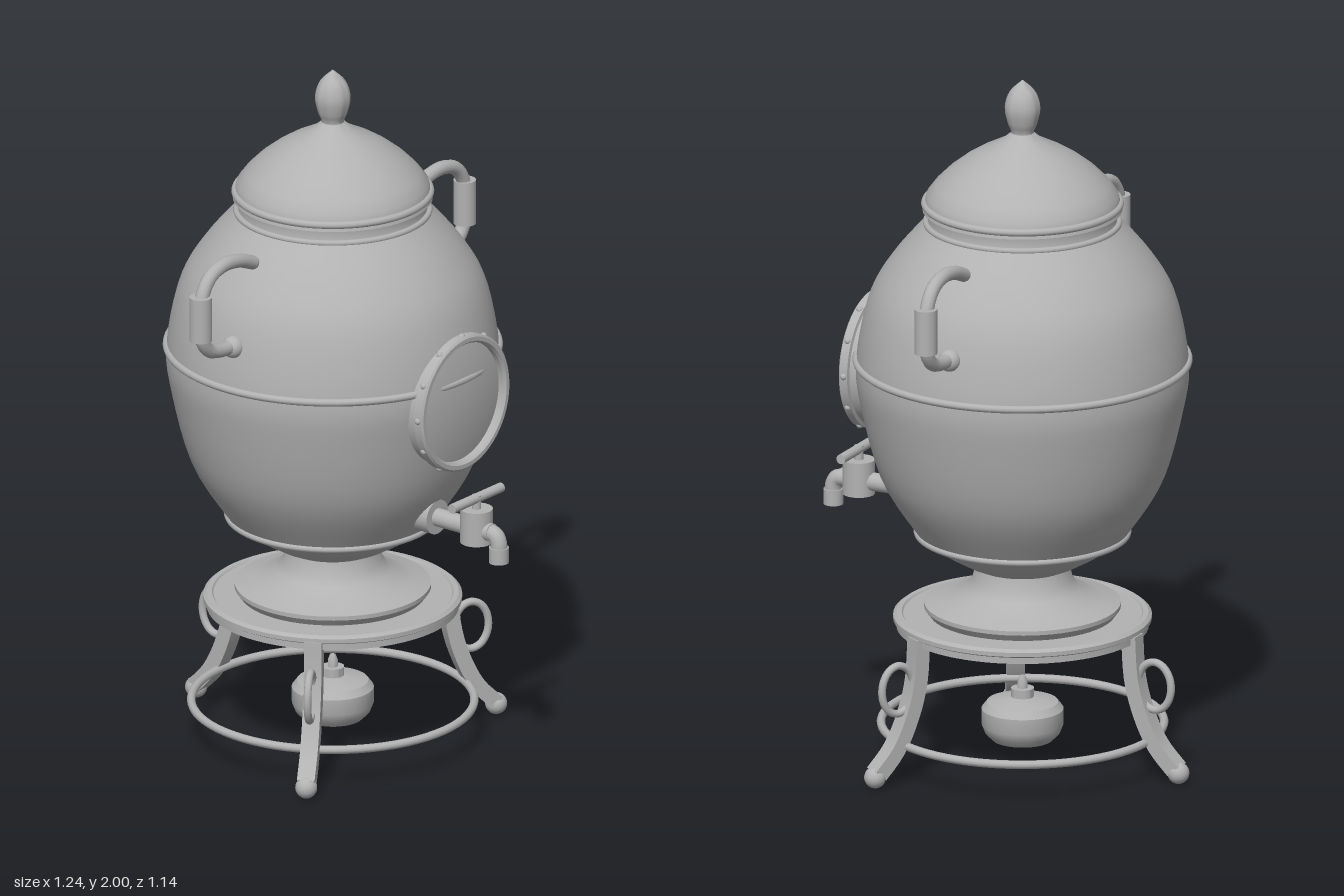
import * as THREE from 'three';
import { toCreasedNormals } from 'three/addons/utils/BufferGeometryUtils.js';

const metal = new THREE.MeshStandardMaterial({ color: 0xb2b2b2 });
metal.name = 'grey metal';

const v2 = (p) => p.map(([x, y]) => new THREE.Vector2(x, y));

function add(parent, name, geometry, x = 0, y = 0, z = 0) {
  const mesh = new THREE.Mesh(geometry, metal);
  mesh.name = name;
  mesh.position.set(x, y, z);
  parent.add(mesh);
  return mesh;
}

// Turned part; profile runs bottom to top as [radius, height]
const turned = (profile, segments = 64, crease = 0.6) =>
  toCreasedNormals(new THREE.LatheGeometry(v2(profile), segments), crease);

// Smooth profile through a few points
const smooth = (profile, n) =>
  new THREE.SplineCurve(v2(profile)).getPoints(n).map((p) => [Math.max(p.x, 0), p.y]);

function band(parent, name, radius, thick, y) {
  return add(parent, name, new THREE.TorusGeometry(radius, thick, 10, 72).rotateX(Math.PI / 2), 0, y, 0);
}

function tube(points, radius, closed = false) {
  const curve = new THREE.CatmullRomCurve3(points.map((p) => new THREE.Vector3(...p)), closed);
  return new THREE.TubeGeometry(curve, 40, radius, 12, closed);
}

const rod = (r, length) => new THREE.CylinderGeometry(r, r, length, 24);

function makeUrn() {
  const urn = new THREE.Group();
  urn.name = 'urn';
  add(urn, 'urnBody', turned(smooth([[0.29, 0.67], [0.395, 0.836], [0.453, 1.05], [0.465, 1.18],
    [0.43, 1.36], [0.365, 1.476], [0.272, 1.585]], 28), 72));
  band(urn, 'waistBand', 0.465, 0.011, 1.18);
  band(urn, 'lowerBand', 0.295, 0.01, 0.675);
  band(urn, 'shoulderBand', 0.27, 0.009, 1.583);
  add(urn, 'pedestal', turned([[0, 0.435], [0.26, 0.435], [0.275, 0.455], [0.275, 0.467], [0.22, 0.483],
    [0.16, 0.51], [0.14, 0.54], [0.132, 0.575], [0.165, 0.59], [0.217, 0.62], [0.26, 0.647], [0.292, 0.675]]));
  add(urn, 'collar', turned([[0.268, 1.58], [0.262, 1.60], [0.268, 1.63]]));

  // Domed lid with its finial
  add(urn, 'lid', turned([[0.26, 1.615], [0.28, 1.62], [0.272, 1.65], [0.268, 1.665], [0.245, 1.695],
    [0.21, 1.73], [0.165, 1.765], [0.12, 1.793], [0.055, 1.826], [0.032, 1.845]], 64, 0.5));
  band(urn, 'lidRim', 0.273, 0.011, 1.638);
  add(urn, 'finial', turned(smooth([[0.034, 1.835], [0.032, 1.85], [0.042, 1.875], [0.05, 1.92],
    [0.036, 1.965], [0, 2]], 20), 32));
  return urn;
}

function makeHandle(side) {
  const handle = new THREE.Group();
  handle.name = side > 0 ? 'leftHandle' : 'rightHandle';
  const path = [[0.36, 1.53], [0.42, 1.553], [0.49, 1.56], [0.55, 1.54], [0.585, 1.49], [0.59, 1.43],
    [0.585, 1.365], [0.555, 1.325], [0.51, 1.31], [0.43, 1.305]];
  add(handle, 'handleBow', tube(path.map(([x, y]) => [x * side, y, 0]), 0.02));
  add(handle, 'handleGrip', rod(0.032, 0.13), 0.59 * side, 1.43, 0);
  add(handle, 'handleBoss', new THREE.SphereGeometry(0.032, 20, 12), 0.445 * side, 1.303, 0);
  add(handle, 'handleEnd', new THREE.SphereGeometry(0.02, 16, 10), 0.36 * side, 1.53, 0);
  return handle;
}

function makeLeg(angle) {
  const leg = new THREE.Group();
  leg.name = 'leg';
  // Curved bar of rectangular section
  const curve = new THREE.SplineCurve(v2([[0.345, 0.42], [0.353, 0.3], [0.38, 0.2], [0.425, 0.11], [0.485, 0.045]]));
  const inner = [], outer = [];
  for (let i = 0; i <= 16; i++) {
    const p = curve.getPoint(i / 16), t = curve.getTangent(i / 16);
    inner.push(new THREE.Vector2(p.x + t.y * 0.022, p.y - t.x * 0.022));
    outer.unshift(new THREE.Vector2(p.x - t.y * 0.022, p.y + t.x * 0.022));
  }
  const bar = new THREE.ExtrudeGeometry(new THREE.Shape([...inner, ...outer]), { depth: 0.05, bevelEnabled: false });
  add(leg, 'legBar', toCreasedNormals(bar.translate(0, 0, -0.025), 0.6));
  add(leg, 'ballFoot', new THREE.SphereGeometry(0.031, 24, 16), 0.49, 0.036, 0);
  // Ear loop on the outside
  const loop = [];
  for (let i = 0; i < 12; i++) {
    const a = (i / 12) * Math.PI * 2;
    loop.push([0.415 + 0.052 * Math.cos(a), 0.28 + 0.07 * Math.sin(a), 0]);
  }
  add(leg, 'legLoop', tube(loop, 0.011, true));
  leg.rotation.y = angle;
  return leg;
}

function makeStand() {
  const stand = new THREE.Group();
  stand.name = 'stand';
  add(stand, 'standPlate', turned([[0, 0.415], [0.325, 0.415], [0.325, 0.397], [0.353, 0.397], [0.353, 0.415],
    [0.362, 0.42], [0.362, 0.432], [0.352, 0.44], [0.338, 0.44], [0.334, 0.435], [0, 0.435]]));
  for (const a of [90, -30, -150]) stand.add(makeLeg((a * Math.PI) / 180));
  band(stand, 'braceRing', 0.396, 0.012, 0.115);
  return stand;
}

function makeBurner() {
  const burner = new THREE.Group();
  burner.name = 'burner';
  add(burner, 'burnerBowl', turned([[0, 0.065], [0.085, 0.065], [0.105, 0.085], [0.115, 0.11], [0.115, 0.155],
    [0.1, 0.175], [0.06, 0.185], [0.032, 0.19], [0.032, 0.215], [0, 0.215]], 40));
  add(burner, 'wick', turned([[0.014, 0.21], [0.014, 0.235], [0.008, 0.25], [0, 0.25]], 16));
  return burner;
}

function makeDoor() {
  const door = new THREE.Group();
  door.name = 'roundDoor';
  door.position.set(0, 1.115, 0);
  // Drum, flange and shallow domed panel, turned about the z axis
  add(door, 'doorDrum', turned([[0.188, 0.3], [0.188, 0.4]]).rotateX(Math.PI / 2));
  add(door, 'doorFlange', turned([[0.185, 0.397], [0.198, 0.4], [0.198, 0.424], [0.192, 0.429],
    [0.18, 0.429], [0.174, 0.422], [0.174, 0.395]]).rotateX(Math.PI / 2));
  const dome = [];
  for (let i = 0; i <= 8; i++) {
    const r = 0.178 * (1 - i / 8);
    dome.push([r, 0.423 - 0.6 * r * r]);
  }
  add(door, 'doorPanel', turned(dome).rotateX(Math.PI / 2));
  for (let i = 0; i < 12; i++) {
    const a = (i / 12) * Math.PI * 2;
    add(door, 'rivet', new THREE.SphereGeometry(0.01, 12, 8), 0.195 * Math.cos(a), 0.195 * Math.sin(a), 0.412);
  }
  return door;
}

function makeTap() {
  const tap = new THREE.Group();
  tap.name = 'tap';
  tap.position.y = 0.75;
  add(tap, 'tapFlange', rod(0.05, 0.085).rotateX(Math.PI / 2), 0, 0, 0.283);
  add(tap, 'tapPipe', rod(0.026, 0.22).rotateX(Math.PI / 2), 0, 0, 0.41);
  add(tap, 'valveBody', rod(0.046, 0.1), 0, 0.01, 0.465);
  add(tap, 'valveStem', rod(0.013, 0.05), 0, 0.075, 0.465);
  add(tap, 'tapLever', rod(0.014, 0.22).rotateZ(Math.PI / 2), 0, 0.09, 0.465);
  add(tap, 'spoutBend', tube([[0, 0, 0.49], [0, 0, 0.515], [0, -0.007, 0.535], [0, -0.025, 0.544], [0, -0.06, 0.545]], 0.024));
  add(tap, 'spoutTip', rod(0.028, 0.045), 0, -0.06, 0.545);
  return tap;
}

export function createModel() {
  const model = new THREE.Group();
  model.name = 'tabletopUrn';
  const vessel = new THREE.Group();
  vessel.name = 'vessel';
  vessel.position.z = -0.05;
  vessel.add(makeUrn(), makeHandle(1), makeHandle(-1), makeStand(), makeBurner());
  model.add(vessel, makeDoor(), makeTap());
  return model;
}
